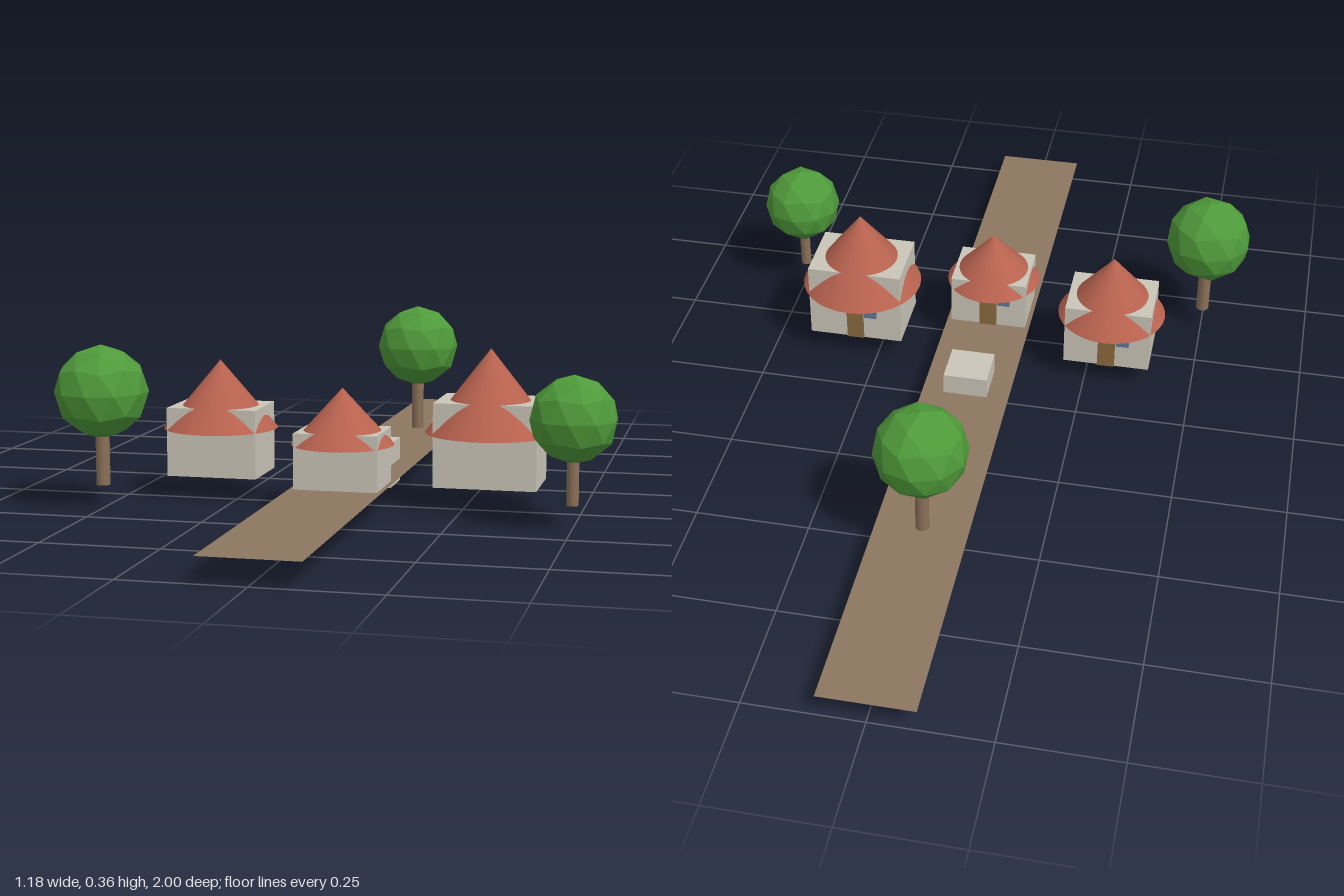
import * as THREE from 'three';

const material = (name, color, extra = {}) => {
  const m = new THREE.MeshStandardMaterial({ color, ...extra });
  m.name = name;
  return m;
};

export function createModel() {
  const wall = material('plaster', 0xcbc5b8);
  const roofRed = material('roof tile', 0xb8624f);
  const leaf = material('foliage', 0x4f9a3a, { flatShading: true });
  const bark = material('bark', 0x8b7058);
  const dirt = material('dirt road', 0x8d7660, { side: THREE.DoubleSide });
  const wood = material('door wood', 0x8a6a40);
  const glass = material('window glass', 0x5f7896);

  const model = new THREE.Group();
  model.name = 'village';
  const GROUND = 0.05;

  const add = (parent, name, geometry, mat, x, y, z) => {
    const mesh = new THREE.Mesh(geometry, mat);
    mesh.name = name;
    mesh.position.set(x, y, z);
    parent.add(mesh);
    return mesh;
  };

  // Road and the stone block sunk halfway into it
  add(model, 'road', new THREE.PlaneGeometry(0.2, 2).rotateX(-Math.PI / 2), dirt, 0, GROUND + 0.001, 0);
  add(model, 'stoneBlock', new THREE.BoxGeometry(0.1, 0.1, 0.1), wall, 0, 0.05, 0);

  // Houses: walls, cone roof, door and window on the rear face
  const house = (name, x, z, w, h, d, roofRadius, roofBase, roofHeight) => {
    const g = new THREE.Group();
    g.name = name;
    g.position.set(x, GROUND, z);
    add(g, 'walls', new THREE.BoxGeometry(w, h, d), wall, 0, h / 2, 0);
    add(g, 'roof', new THREE.ConeGeometry(roofRadius, roofHeight, 32), roofRed, 0, roofBase + roofHeight / 2, 0);
    add(g, 'door', new THREE.BoxGeometry(0.04, 0.08, 0.006), wood, 0, 0.04, -d / 2 - 0.001);
    add(g, 'window', new THREE.BoxGeometry(0.03, 0.03, 0.006), glass, -0.037, 0.075, -d / 2 - 0.001);
    model.add(g);
  };
  house('mediumHouse', -0.3, 0.2, 0.2, 0.15, 0.15, 0.125, 0.1, 0.15);
  house('largeHouse', 0.3, 0.2, 0.22, 0.18, 0.16, 0.14, 0.11, 0.18);
  house('smallHouse', 0, 0.3, 0.18, 0.12, 0.14, 0.11, 0.09, 0.12);

  // Trees: faceted ball crown with a vertex at the top, on a thin trunk
  const poleTilt = Math.atan(1 / ((1 + Math.sqrt(5)) / 2)) - Math.PI / 2;
  const tree = (name, x, z, radius, crownY, trunkRadius) => {
    const g = new THREE.Group();
    g.name = name;
    g.position.set(x, 0, z);
    const trunkHeight = crownY - radius * 0.5 - GROUND;
    add(g, 'trunk', new THREE.CylinderGeometry(trunkRadius, trunkRadius, trunkHeight, 12), bark,
      0, GROUND + trunkHeight / 2, 0);
    const ball = new THREE.IcosahedronGeometry(radius, 1).rotateX(poleTilt).rotateY(Math.PI / 2);
    add(g, 'crown', ball, leaf, 0, crownY, 0);
    model.add(g);
  };
  tree('rightTree', -0.5, 0.4, 0.1, 0.25, 0.015);
  tree('leftTree', 0.5, 0.4, 0.09, 0.225, 0.0125);
  tree('backTree', 0, -0.5, 0.1, 0.26, 0.015);

  return model;
}
